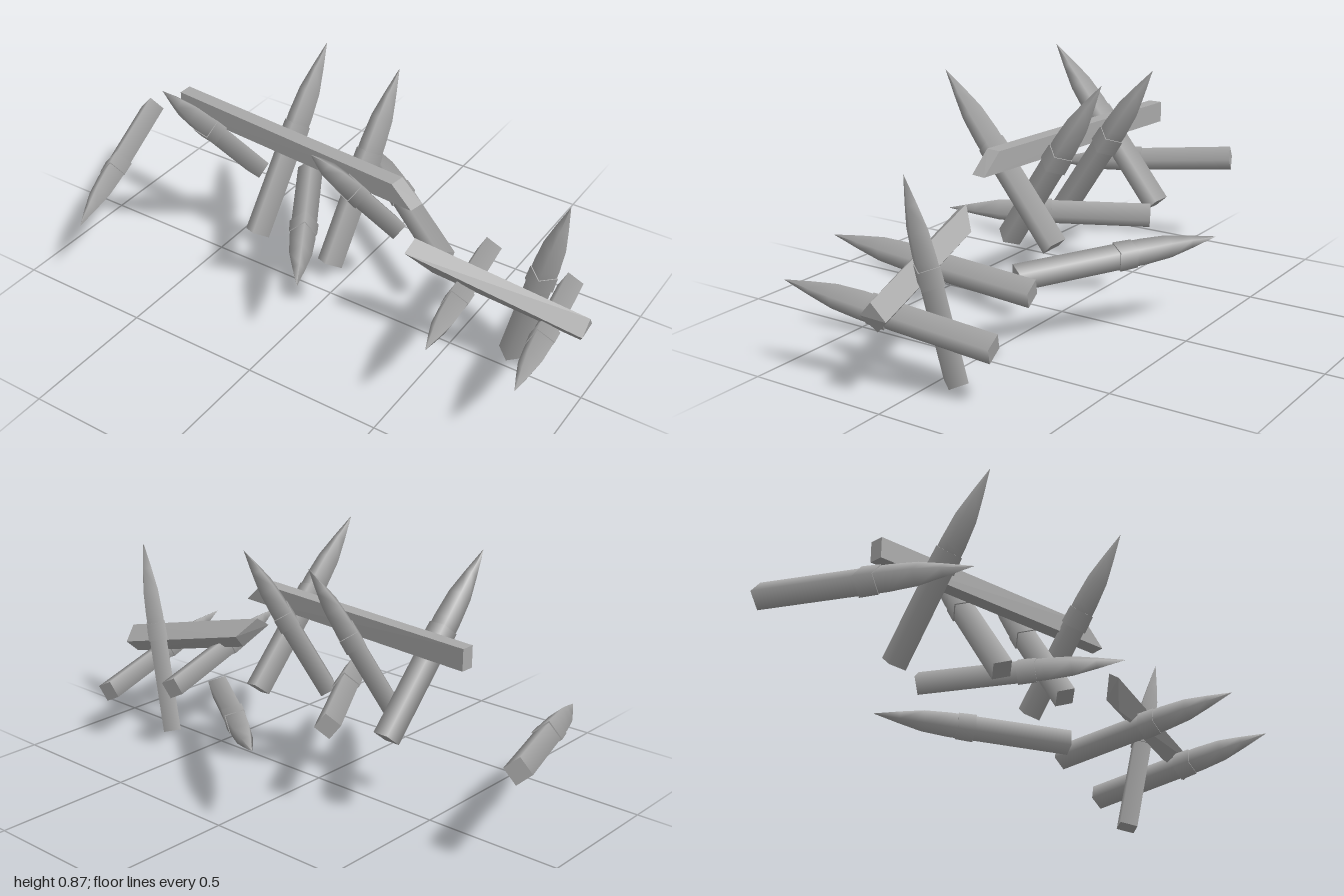
import * as THREE from 'three';
import { ConvexGeometry } from 'three/addons/geometries/ConvexGeometry.js';

const LENGTH = 0.725;

export function createModel() {
  const model = new THREE.Group();
  model.name = 'spikedBarricade';
  const wood = new THREE.MeshStandardMaterial({ color: 0xaaaaaa });
  wood.name = 'greyWood';

  // Shared stake parts: four sided with soft corners, standing along +y from the base
  const shaftLength = 0.37;
  const shaftGeo = new THREE.CylinderGeometry(0.045, 0.046, shaftLength, 4);
  shaftGeo.translate(0, shaftLength / 2, 0);
  const collarGeo = new THREE.CylinderGeometry(0.049, 0.051, 0.065, 4);
  collarGeo.translate(0, 0.3875, 0);
  const tipGeo = new THREE.LatheGeometry([
    [0.045, 0.42], [0.045, 0.45], [0.039, 0.545], [0.022, 0.63], [0.0005, LENGTH],
  ].map(([r, y]) => new THREE.Vector2(r, y)), 4);

  // Sharpened stake running from the centre of its base to its point
  function stake(name, base, point, roll = 0) {
    const group = new THREE.Group();
    group.name = name;
    const parts = { Shaft: shaftGeo, Collar: collarGeo, Tip: tipGeo };
    for (const [part, geo] of Object.entries(parts)) {
      const mesh = new THREE.Mesh(geo, wood);
      mesh.name = name + part;
      mesh.rotation.y = roll;
      group.add(mesh);
    }
    const from = new THREE.Vector3(...base);
    const axis = new THREE.Vector3(...point).sub(from);
    group.position.copy(from);
    group.scale.y = axis.length() / LENGTH;
    group.quaternion.setFromUnitVectors(new THREE.Vector3(0, 1, 0), axis.normalize());
    model.add(group);
  }

  // Plank given by the four corners of each end
  function plank(name, corners) {
    const mesh = new THREE.Mesh(
      new ConvexGeometry(corners.map((c) => new THREE.Vector3(...c))), wood);
    mesh.name = name;
    model.add(mesh);
  }

  // Crossed stakes leaning on the long rail
  stake('frontStakeRight', [-0.42, 0.325, -0.142], [-0.45, 0.87, 0.318], 0.6);
  stake('backStakeRight', [-0.21, 0.285, 0.15], [-0.18, 0.873, -0.25], 0.15);
  stake('backStakeLeft', [0.1, 0.285, 0.155], [0.125, 0.873, -0.233], 0.15);
  stake('frontStakeLeft', [0.2, 0.325, -0.1], [0.17, 0.87, 0.365], 0.4);

  // Stakes around the short rail
  stake('uprightStake', [0.705, 0.015, -0.065], [0.875, 0.72, -0.022], 0.1);
  stake('lowStakeRight', [0.515, 0.28, -0.225], [0.655, 0.39, 0.465], 0.5);
  stake('lowStakeLeft', [0.805, 0.21, -0.285], [0.94, 0.33, 0.418], 0.5);

  // Fallen stakes
  stake('fallenStakeRight', [-0.953, 0.385, -0.18], [-0.715, 0.33, 0.51], 0.4);
  stake('fallenStakeMiddle', [-0.235, 0.34, -0.22], [0.13, 0.36, 0.395], 0.4);
  stake('fallenStakeBack', [0.41, 0.275, -0.09], [-0.175, 0.33, -0.512], 0.4);

  // Long rail, its left end cut at a slant
  plank('longRail', [
    [-0.635, 0.58, -0.035], [-0.635, 0.58, 0.015], [-0.635, 0.655, 0.015], [-0.635, 0.655, -0.035],
    [0.39, 0.585, 0.047], [0.38, 0.585, 0.102], [0.302, 0.657, 0.097], [0.31, 0.657, 0.042],
  ]);
  // Short rail, tilted on edge, its right end cut at a slant
  plank('shortRail', [
    [0.405, 0.49, 0.11], [0.395, 0.455, 0.16], [0.47, 0.367, 0.098], [0.46, 0.42, 0.05],
    [1, 0.357, 0.015], [0.998, 0.307, 0.06], [0.975, 0.255, 0.012], [0.99, 0.3, -0.033],
  ]);

  return model;
}
